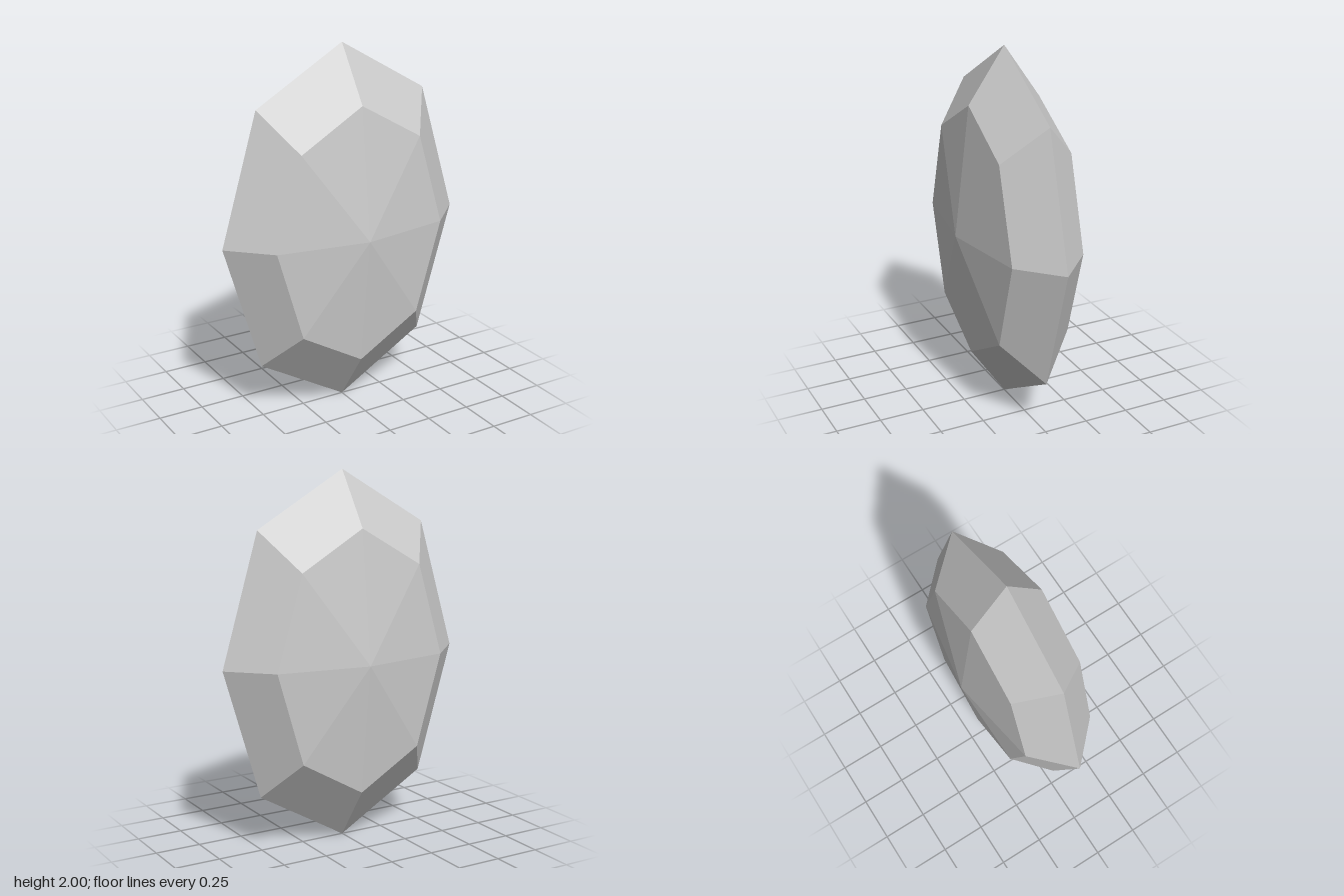
import * as THREE from 'three';

export function createModel() {
  const group = new THREE.Group();
  group.name = 'gem';

  // Faceted oval gem: a coarse sphere with its poles facing front and back, flattened
  const geometry = new THREE.SphereGeometry(1, 8, 4);
  geometry.rotateX(Math.PI / 2);
  geometry.scale(0.71, 1, 0.287);

  const material = new THREE.MeshStandardMaterial({ color: 0xcccccc, flatShading: true });
  const stone = new THREE.Mesh(geometry, material);
  stone.name = 'facetedStone';
  stone.position.y = 1;
  group.add(stone);

  return group;
}
